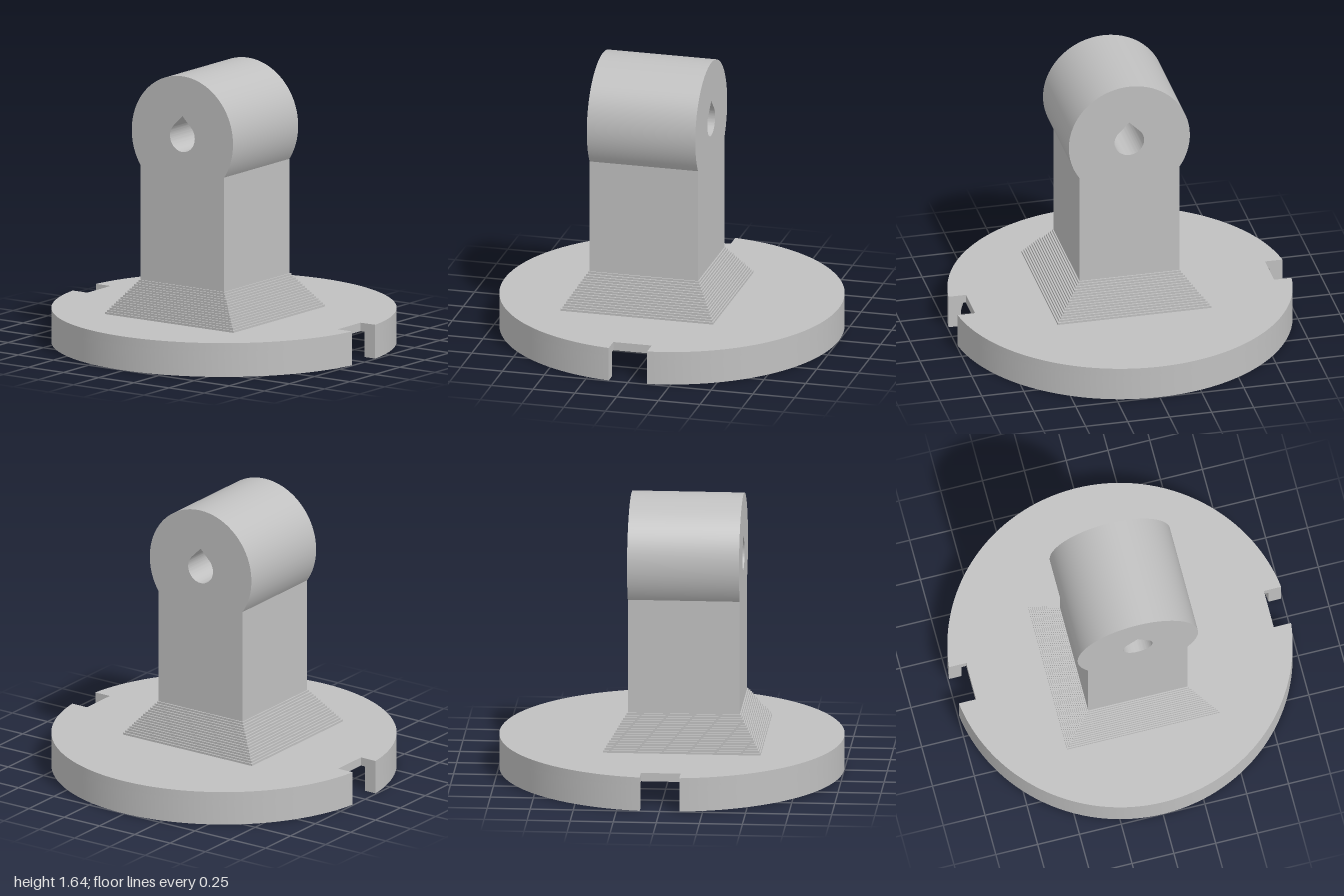
import * as THREE from 'three';
import { toCreasedNormals } from 'three/addons/utils/BufferGeometryUtils.js';

const SEGMENTS = 48;
const NOTCH = 0.115;        // half width of the rim notches
const NOTCH_X = 0.89;       // depth reached by the notches
const INNER = 0.925;        // inner radius of the skirt
const PLATE_Y = 0.15;       // underside of the top plate
const BASE_H = 0.2;
const POST_Z = 0.09;        // the post sits slightly forward

function extrude(shape, depth) {
  const geo = new THREE.ExtrudeGeometry(shape, { depth, bevelEnabled: false, curveSegments: SEGMENTS });
  return toCreasedNormals(geo, 0.5);
}

export function createModel() {
  const model = new THREE.Group();
  const grey = new THREE.MeshStandardMaterial({ color: 0xc0c0c0 });
  grey.name = 'grey plastic';

  const add = (name, geo, parent = model) => {
    const mesh = new THREE.Mesh(geo, grey);
    mesh.name = name;
    parent.add(mesh);
    return mesh;
  };

  // Round top plate with a square notch on each side
  const a = Math.asin(NOTCH);
  const plate = new THREE.Shape();
  plate.absarc(0, 0, 1, a, Math.PI - a, false);
  plate.lineTo(-NOTCH_X, NOTCH);
  plate.lineTo(-NOTCH_X, -NOTCH);
  plate.absarc(0, 0, 1, Math.PI + a, 2 * Math.PI - a, false);
  plate.lineTo(NOTCH_X, -NOTCH);
  plate.lineTo(NOTCH_X, NOTCH);
  plate.closePath();
  const plateGeo = extrude(plate, BASE_H - PLATE_Y);
  plateGeo.rotateX(-Math.PI / 2).translate(0, PLATE_Y, 0);
  add('basePlate', plateGeo);

  // Two half-ring skirts below the plate, open at the notches
  const b = Math.asin(NOTCH / INNER);
  for (const side of [0, 1]) {
    const skirt = new THREE.Shape();
    skirt.absarc(0, 0, 1, a, Math.PI - a, false);
    skirt.absarc(0, 0, INNER, Math.PI - b, b, true);
    skirt.closePath();
    const geo = extrude(skirt, PLATE_Y);
    geo.rotateX(-Math.PI / 2).rotateY(side * Math.PI);
    add(side ? 'frontSkirt' : 'backSkirt', geo);
  }

  // Six small grip tabs inside the skirt
  const tabs = new THREE.Group();
  tabs.name = 'gripTabs';
  model.add(tabs);
  for (let i = 0; i < 6; i++) {
    const angle = THREE.MathUtils.degToRad(25 + i * 60);
    const tab = add('gripTab', new THREE.BoxGeometry(0.03, 0.12, 0.07), tabs);
    tab.position.set(Math.cos(angle) * 0.922, 0.09, Math.sin(angle) * 0.922);
    tab.rotation.y = -angle;
  }

  // Stepped flare at the foot of the post
  const flare = new THREE.Group();
  flare.name = 'steppedFlare';
  model.add(flare);
  const steps = 16, flareH = 0.2, stepH = flareH / steps;
  for (let i = 0; i < steps; i++) {
    const t = i / (steps - 1);
    const halfX = THREE.MathUtils.lerp(0.457, 0.305, t);
    const halfZ = THREE.MathUtils.lerp(0.457, 0.333, t);
    const step = add('flareStep', new THREE.BoxGeometry(halfX * 2, stepH, halfZ * 2), flare);
    step.position.set(0, BASE_H + (i + 0.5) * stepH, POST_Z);
  }

  // Post with rounded head and teardrop hole
  const R = 0.36, half = 0.297, headY = 1.28, depth = 0.65;
  const join = Math.asin(Math.sqrt(R * R - half * half) / R);
  const post = new THREE.Shape();
  post.moveTo(-half, 0.38);
  post.lineTo(half, 0.38);
  post.absarc(0, headY, R, -join, Math.PI + join, false);
  post.closePath();
  const hole = new THREE.Path();
  hole.absarc(0, headY, 0.088, Math.PI * 0.75, Math.PI * 0.25, false);
  hole.lineTo(0, headY + 0.088 * Math.SQRT2);
  hole.closePath();
  post.holes.push(hole);
  const postGeo = extrude(post, depth);
  postGeo.translate(0, 0, POST_Z - depth / 2);
  add('postWithEye', postGeo);

  return model;
}
